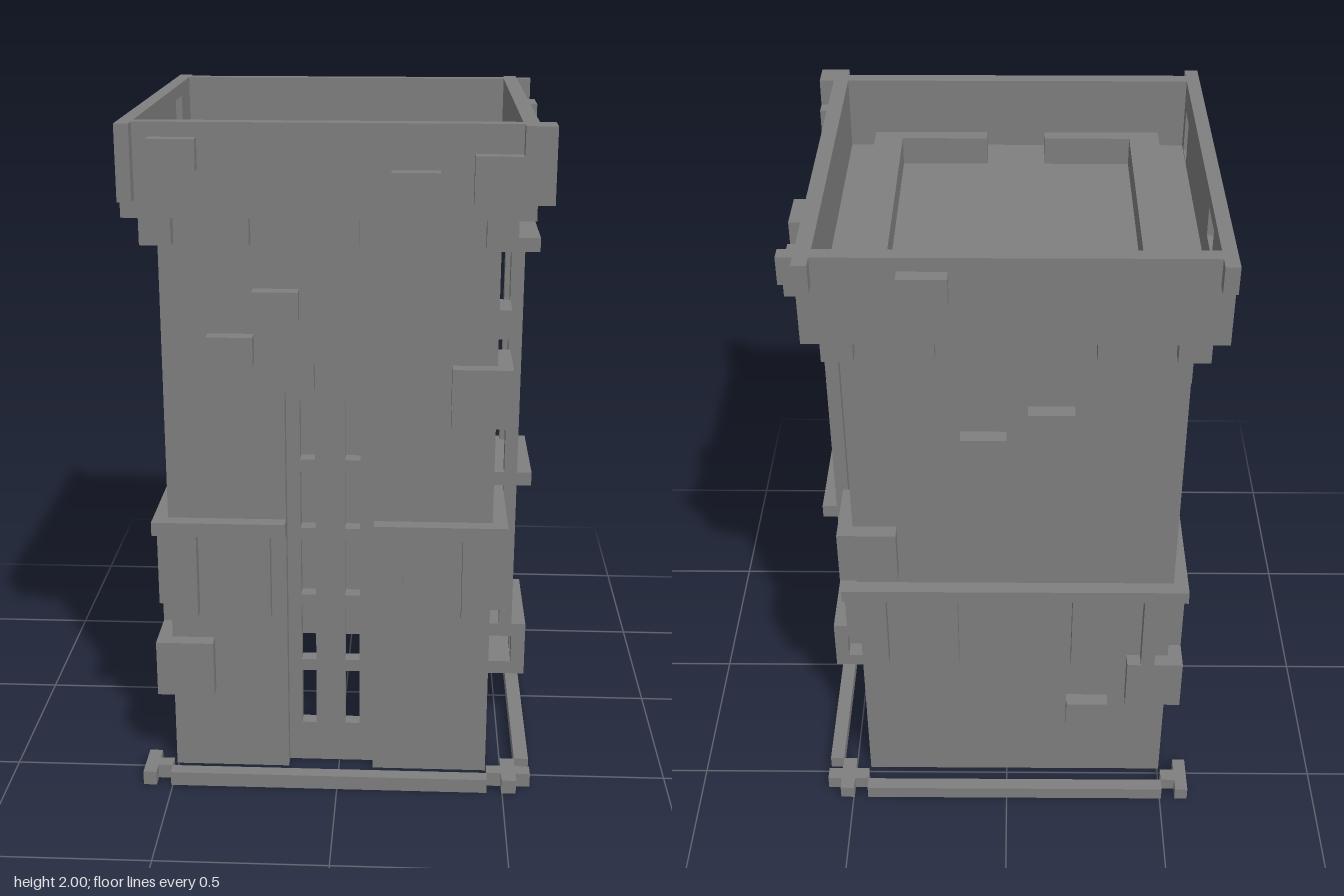
import * as THREE from 'three';

const stone = new THREE.MeshStandardMaterial({ color: 0x808080 });
stone.name = 'grey stone';
const T = 0.044; // wall thickness and relief depth

export function createModel() {
  const tower = new THREE.Group();
  tower.name = 'tower';

  const add = (name, geo) => {
    const mesh = new THREE.Mesh(geo, stone);
    mesh.name = name;
    tower.add(mesh);
    return mesh;
  };
  const box = (name, x0, x1, y0, y1, z0, z1) =>
    add(name, new THREE.BoxGeometry(x1 - x0, y1 - y0, z1 - z0))
      .position.set((x0 + x1) / 2, (y0 + y1) / 2, (z0 + z1) / 2);
  // upright slab from an outline and rectangular holes [u0, u1, y0, y1]
  const rect = ([a, b, c, d]) => [[a, c], [b, c], [b, d], [a, d]];
  const slab = (outline, holes = [], depth = T) => {
    const v = (p) => new THREE.Vector2(p[0], p[1]);
    const shape = new THREE.Shape(outline.map(v));
    holes.forEach((h) => shape.holes.push(new THREE.Path(rect(h).map(v))));
    return new THREE.ExtrudeGeometry(shape, { depth, bevelEnabled: false });
  };
  const slabZ = (name, z0, outline, holes, depth) => add(name, slab(outline, holes, depth)).position.set(0, 0, z0);
  const slabX = (name, xOuter, outline, holes, depth) =>
    add(name, slab(outline, holes, depth).rotateY(-Math.PI / 2)).position.set(xOuter, 0, 0);

  // body: hollow, open below
  const X0 = -0.505, X1 = 0.453, Z = 0.48;
  slabZ('frontWall', Z - T, [
    [X0, 0], [-0.155, 0], [-0.155, 1.22], [-0.07, 1.22], [-0.07, 1.305], [0.02, 1.305],
    [0.02, 1.22], [0.105, 1.22], [0.105, 0], [X1, 0], [X1, 1.74], [X0, 1.74]]);
  slabZ('backWall', -Z, rect([X0, X1, 0, 1.74]));
  slabX('leftWall', X1, rect([-Z + T, Z - T, 0, 1.74]),
    [[-0.087, 0.087, 0.35, 0.82], [-0.087, 0.087, 0.96, 1.57], [-0.04, 0.04, 0.915, 0.9599]]);
  slabX('rightWall', X0 + T, rect([-Z + T, Z - T, 0, 1.74]));

  // recessed door with two columns of slits
  const slits = [];
  for (let k = 0; k < 5; k++)
    for (const x of [-0.115, 0.018]) slits.push([x, x + 0.044, 0.13 + k * 0.2175, 0.31 + k * 0.2175]);
  slabZ('door', Z - 2 * T, rect([-0.2, 0.15, 0, 1.26]), slits);
  box('doorCap', -0.11, 0.06, 1.26, 1.35, Z - 2 * T, Z - T);

  // louvred openings
  for (const [lo, hi] of [[0.35, 0.82], [0.915, 1.57]]) {
    const n = Math.round((hi - lo) / 0.0435), h = (hi - lo) / n;
    for (let i = 0; i < n; i++) {
      const d = i % 2 ? 0 : T;
      box('louvre', X1 - T - d, X1 - d, lo + i * h, lo + (i + 1) * h, -0.087, 0.087);
    }
  }

  // frame and basket standing in front of the openings
  for (const z of [-0.174, 0.131]) box('rail', 0.5, 0.54, 0.35, 1.57, z, z + 0.043);
  for (const y of [1.57, 0.83, 0.31, 0.176]) box('crossbar', X1, 0.585, y, y + 0.043, -0.174, 0.174);
  slabX('basketFront', 0.585, rect([-0.174, 0.174, 0.219, 0.31]),
    [[-0.131, -0.087, 0.22, 0.309], [-0.043, 0.043, 0.22, 0.309], [0.087, 0.131, 0.22, 0.309]], T);

  // band with hanging posts
  const B0 = X0 - T, B1 = X1 + T, BZ = Z + T;
  box('band', B0, -0.155, 0.785, 0.827, Z, BZ);
  box('band', 0.105, B1, 0.785, 0.827, Z, BZ);
  box('band', B0, B1, 0.785, 0.827, -BZ, -Z);
  for (const [a, b] of [[B0, X0], [X1, B1]]) box('band', a, b, 0.785, 0.827, -Z, Z);
  for (const p of [-0.413, -0.195, 0.195, 0.413]) {
    const x = p - 0.026;
    for (const [a, b] of [[Z, BZ], [-BZ, -Z]]) box('post', x - 0.021, x + 0.021, 0.525, 0.785, a, b);
    for (const [a, b] of [[X1, B1], [B0, X0]]) box('post', a, b, 0.525, 0.785, p - 0.021, p + 0.021);
  }

  // brackets under the parapet
  for (const [a, b] of [[-0.392, -0.218], [-0.087, 0.087], [0.218, 0.392]]) {
    for (const [c, d] of [[Z, BZ], [-BZ, -Z]]) box('bracket', a - 0.026, b - 0.026, 1.655, 1.74, c, d);
    for (const [c, d] of [[X1, B1], [B0, X0]]) box('bracket', c, d, 1.655, 1.74, a, b);
  }
  for (const [a, b] of [[B0, -0.46], [0.41, B1]])
    for (const [c, d] of [[0.436, BZ], [-BZ, -0.436]]) box('cornerBracket', a, b, 1.655, 1.74, c, d);

  // parapet and roof
  const P0 = -0.589, P1 = 0.541, PZ = 0.567;
  box('roof', B0, B1, 1.74, 1.785, -BZ, BZ);
  for (const z of [BZ, -PZ]) box('parapet', P0, P1, 1.74, 2, z, z + PZ - BZ);
  box('parapet', B1, P1, 1.74, 2, -BZ, BZ);
  slabX('parapet', B0, rect([-BZ, BZ, 1.74, 2]),
    [[-0.35, -0.22, 1.875, 1.96], [0.39, 0.48, 1.79, 1.92]], B0 - P0);
  for (const [a, b, c, d] of [[-0.46, -0.37, -0.46, -0.11], [0.325, 0.41, 0.065, 0.41]]) {
    box('roofCurb', a, b, 1.785, 1.87, -0.392, 0.392);
    for (const z of [-0.436, 0.392]) box('roofCurb', c, d, 1.785, 1.87, z, z + 0.044);
  }

  // parapet stones and corner pieces
  const QZ = 0.608, Q1 = 0.585;
  for (const [a, b, c, d] of [[-0.505, -0.375, 1.875, 1.96], [0.148, 0.28, 1.79, 1.875], [0.37, Q1, 1.79, 1.92], [0.5, Q1, 1.92, 2], [P0, B0, 1.79, 2]])
    box('parapetStone', a, b, c, d, PZ, QZ);
  box('parapetStone', 0.148, 0.28, 1.875, 1.96, -QZ, -PZ);
  for (const [a, b, c, d] of [[-0.31, -0.177, 1.875, 1.96], [-0.485, -0.355, 1.835, 1.92], [0.48, PZ, 1.79, 1.92], [0.523, PZ, 1.92, 2], [-PZ, -BZ, 1.92, 2]])
    box('parapetStone', P1, Q1, c, d, a, b);
  box('parapetStone', 0.5, P1, 1.92, 2, -QZ, -PZ);
  box('parapetStone', P0, B0, 1.92, 2, -QZ, -PZ);

  // stones standing out of the body walls
  const S = [
    [-0.24, -0.11, 1.44, 1.525, Z, BZ], [-0.372, -0.24, 1.307, 1.393, Z, BZ],
    [0, 0.13, 1.307, 1.393, -BZ, -Z], [-0.19, -0.06, 1.393, 1.48, -BZ, -Z],
    [-0.32, -0.19, 0.265, 0.35, -BZ, -Z], [X1, B1, 1.35, 1.437, 0.22, 0.35],
    [B0, X0, 1.35, 1.437, -0.175, -0.045], [B0, X0, 0.437, 0.525, 0.24, 0.37],
  ];
  S.forEach((s) => box('wallStone', ...s));

  // larger stones wrapped round the corners, as an L of two plates
  for (const [sx, sz, y0, y1] of [[1, 1, 1.132, 1.307], [1, -1, 0.872, 1.045], [-1, 1, 0.263, 0.437], [-1, -1, 0.35, 0.525]]) {
    const [a, b] = sx > 0 ? [0.324, B1] : [B0, -0.376];
    const [c, d] = sx > 0 ? [X1, B1] : [B0, X0];
    box('cornerStone', a, b, y0, y1, sz > 0 ? Z : -BZ, sz > 0 ? BZ : -Z);
    box('cornerStone', c, d, y0, y1, sz > 0 ? 0.305 : -Z, sz > 0 ? Z : -0.305);
  }

  // kerb around the foot with stepped corners
  for (const z of [PZ, -QZ]) box('kerb', X0, X1, 0, T, z, z + QZ - PZ);
  box('kerb', P1, Q1, 0, T, -Z, Z);
  for (const s of [1, -1]) {
    const cube = (x0, x1, a, b) => box('kerbCorner', x0, x1, 0, T, s > 0 ? a : -b, s > 0 ? b : -a);
    cube(X1, B1, BZ, PZ);
    cube(B1, P1, Z, QZ);
    cube(P1, Q1, BZ, PZ);
    cube(P0, B0, Z, QZ);
    cube(B0, X0, BZ, PZ);
  }
  return tower;
}
